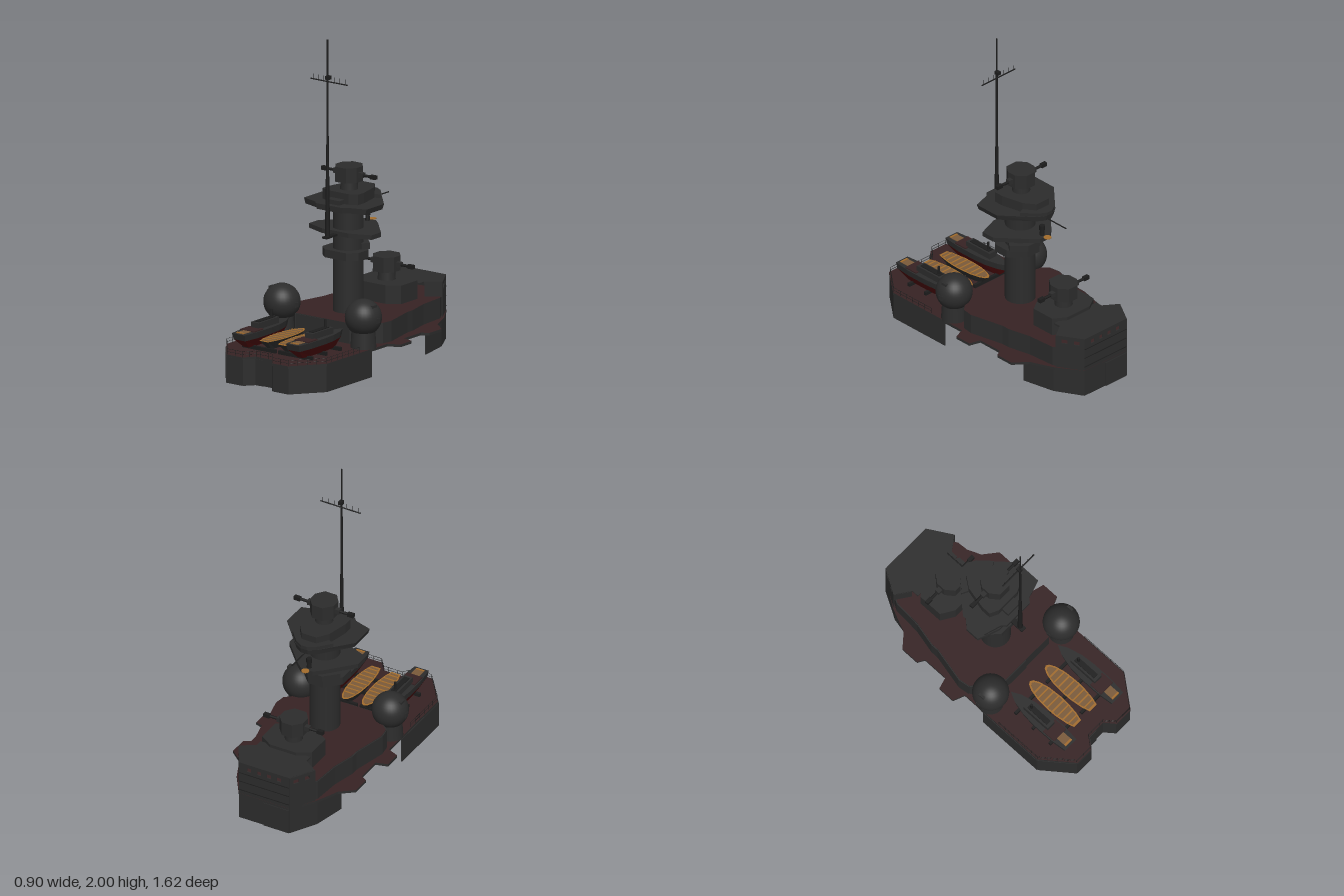
import * as THREE from 'three';

const mat = (name, color) => {
  const m = new THREE.MeshStandardMaterial({ color });
  m.name = name;
  return m;
};

export function createModel() {
  const gray = mat('steel gray', 0x2c2c2c), deckRed = mat('deck red brown', 0x362223);
  const dark = mat('dark fittings', 0x1d1d1d), keelRed = mat('keel red', 0x4c0a0a);
  const tan = mat('varnished wood', 0xa26c2c), floorTan = mat('boat floor', 0x7a5a3a);
  const root = new THREE.Group();
  root.name = 'shipSuperstructure';

  const add = (name, geo, m, x = 0, y = 0, z = 0, parent = root) => {
    const mesh = new THREE.Mesh(geo, m);
    mesh.name = name;
    mesh.position.set(x, y, z);
    parent.add(mesh);
    return mesh;
  };
  const group = (name, x = 0, y = 0, z = 0) => {
    const g = new THREE.Group();
    g.name = name;
    g.position.set(x, y, z);
    root.add(g);
    return g;
  };
  const box = (w, h, d) => new THREE.BoxGeometry(w, h, d);
  const cyl = (r0, r1, h, n = 20) => new THREE.CylinderGeometry(r0, r1, h, n);
  // Full mirrored outline in shape space from half an outline of [x, z]
  const outline = half => [...half, ...half.filter(p => p[0] > 0).reverse().map(([x, z]) => [-x, z])]
    .map(([x, z]) => new THREE.Vector2(x, -z));
  // Mirrored horizontal plate, optionally with a mirrored opening; taper shrinks its bottom edge
  const plate = (half, y0, y1, taper = 1, opening = null) => {
    const shape = new THREE.Shape(outline(half));
    if (opening) shape.holes.push(new THREE.Path(outline(opening)));
    const g = new THREE.ExtrudeGeometry(shape, { depth: y1 - y0, bevelEnabled: false });
    g.rotateX(-Math.PI / 2).translate(0, y0, 0);
    const p = g.attributes.position;
    for (let i = 0; i < p.count; i++) if (p.getY(i) < (y0 + y1) / 2) {
      p.setX(i, p.getX(i) * taper);
      p.setZ(i, p.getZ(i) * (1 + taper) / 2);
    }
    g.computeVertexNormals();
    return g;
  };
  // Thin upright wall between two [x, z] points, with optional window holes [u, y, w, h]
  const wall = (name, a, b, y0, y1, holes = []) => {
    const dx = b[0] - a[0], dz = b[1] - a[1], len = Math.hypot(dx, dz);
    const rect = (s, x, y, w, h) => s.moveTo(x, y).lineTo(x + w, y).lineTo(x + w, y + h).lineTo(x, y + h).closePath();
    const s = rect(new THREE.Shape(), 0, y0, len, y1 - y0);
    for (const [u, y, w, h] of holes) s.holes.push(rect(new THREE.Path(), u * len - w / 2, y, w, h));
    const g = new THREE.ExtrudeGeometry(s, { depth: 0.006, bevelEnabled: false });
    g.rotateY(Math.atan2(-dz, dx)).translate(a[0], 0, a[1]);
    add(name, g, gray);
  };
  // Walls along a path and along its mirror image
  const walls = (name, path, y0, y1) => {
    for (const s of [-1, 1])
      for (let i = 0; i + 1 < path.length; i++)
        wall(name, [path[i][0] * s, path[i][1]], [path[i + 1][0] * s, path[i + 1][1]], y0, y1);
  };
  // Round bar between two points, r1 being the radius at the second
  const rod = (name, a, b, r, m = dark, parent = root, r1 = r) => {
    const A = new THREE.Vector3(...a), B = new THREE.Vector3(...b), d = B.clone().sub(A);
    const c = A.clone().add(B).multiplyScalar(0.5);
    const mesh = add(name, cyl(r1, r, d.length(), 8), m, c.x, c.y, c.z, parent);
    mesh.quaternion.setFromUnitVectors(new THREE.Vector3(0, 1, 0), d.normalize());
  };

  // Main deck with side sponsons, open beneath the hollow deckhouse
  const house = [[0.16, -0.795], [0.262, -0.63], [0.275, -0.45], [0.31, -0.3], [0.31, -0.25], [0.36, -0.03],
    [0.35, 0.04], [0.2, 0.17]];
  add('mainDeck', plate([[0.17, -0.81], [0.27, -0.66], [0.31, -0.57], [0.335, -0.51], [0.42, -0.44], [0.42, -0.32],
    [0.377, -0.295], [0.377, -0.13], [0.45, -0.11], [0.45, 0], [0.377, 0.03], [0.377, 0.62], [0.23, 0.81],
    [0.11, 0.81], [0.06, 0.745]], 0.158, 0.174, 1, house), [deckRed, gray]);
  add('deckhouseTop', plate(house, 0.292, 0.3), [deckRed, gray]);
  walls('deckhouseWall', [...house, [0, 0.17]], 0.16, 0.297);

  // Hollow hull skirts under both ends
  walls('frontHullWall', [[0.375, 0.18], [0.375, 0.62], [0.23, 0.805], [0.11, 0.805], [0.06, 0.743], [0, 0.743]], 0, 0.16);
  walls('rearHullWall', [[0, -0.808], [0.17, -0.808], [0.265, -0.64], [0.31, -0.43]], 0, 0.16);

  // Covered gallery at the rear, with window openings
  const win = [0.2, 0.4, 0.6, 0.8].map(u => [u, 0.342, 0.03, 0.026]);
  wall('galleryRearWall', [-0.17, -0.808], [0.17, -0.808], 0.16, 0.39, win);
  for (const s of [-1, 1]) {
    wall('gallerySideWall', [0.17 * s, -0.808], [0.26 * s, -0.655], 0.16, 0.39,
      [[0.27, 0.342, 0.036, 0.026], [0.7, 0.342, 0.036, 0.026]]);
    wall('galleryInnerWall', [0.256 * s, -0.66], [0.17 * s, -0.6], 0.298, 0.385);
  }
  add('galleryRoof', plate([[0.17, -0.808], [0.26, -0.657], [0.17, -0.595], [0.17, -0.55]], 0.38, 0.392), gray);
  for (const y of [0.2, 0.26, 0.32]) add('platingSeam', box(0.34, 0.004, 0.004), dark, 0, y, -0.809);
  add('directorPlatform', plate([[0.09, -0.58], [0.17, -0.53], [0.17, -0.37], [0.09, -0.32]], 0.3, 0.413), gray);

  // Rangefinder directors with cross arms
  const director = (y, z, ped) => {
    const g = group('director', 0, y, z);
    add('directorPedestal', cyl(0.05, 0.055, ped, 16), gray, 0, ped / 2, 0, g);
    add('directorHouse', plate([[0.035, -0.083], [0.08, -0.03], [0.08, 0.03], [0.04, 0.083]], ped, ped + 0.092), gray, 0, 0, 0, g);
    rod('rangefinderArm', [-0.2, ped + 0.045, 0], [0.2, ped + 0.045, 0], 0.009, dark, g);
    for (const s of [-1, 1]) {
      add('rangefinderHead', box(0.04, 0.024, 0.024), dark, 0.182 * s, ped + 0.045, 0, g);
      add('rangefinderCollar', box(0.03, 0.03, 0.03), gray, 0.095 * s, ped + 0.045, 0, g);
    }
  };
  director(0.41, -0.45, 0.06);
  director(1.04, -0.085, 0.055);

  // Round tower and its platforms
  add('tower', cyl(0.092, 0.092, 0.72, 32), gray, 0, 0.65, -0.077);
  add('lowerGallery', plate([[0.05, -0.19], [0.135, -0.1], [0.135, 0.0], [0.08, 0.05]], 0.636, 0.685), gray);
  add('lowerGalleryScreen', plate([[0.05, -0.2], [0.13, -0.12], [0.1, -0.08]], 0.685, 0.722), gray);
  add('middlePlatform', plate([[0.04, -0.295], [0.09, -0.25], [0.235, -0.09], [0.235, 0.0], [0.1, 0.05]], 0.782, 0.81), gray);
  add('topPlatform', plate([[0.025, -0.33], [0.075, -0.3], [0.235, -0.12], [0.235, 0.05], [0.12, 0.085], [0.1, 0.11]], 0.943, 0.978, 0.95), gray);
  add('topScreen', plate([[0.02, -0.33], [0.07, -0.3], [0.14, -0.22], [0.1, -0.2]], 0.978, 1.0), gray);
  add('towerHead', plate([[0.05, -0.27], [0.1, -0.2], [0.132, -0.06], [0.132, 0.0], [0.08, 0.025]], 0.975, 1.043), gray);
  add('rearLocker', box(0.1, 0.03, 0.05), gray, 0, 0.99, 0.05);
  rod('bowPole', [0, 0.942, -0.3], [0, 0.942, -0.47], 0.004);
  add('sightStand', cyl(0.012, 0.016, 0.045, 10), dark, 0, 0.83, -0.265);
  add('sightHead', cyl(0.018, 0.018, 0.03, 10), dark, 0, 0.86, -0.265);
  add('sightFan', cyl(0.024, 0.024, 0.004, 12), tan, 0, 0.812, -0.312);

  // Pole mast with yard
  rod('mastLower', [0, 0.78, 0.125], [0, 1.25, 0.125], 0.016, dark, root, 0.009);
  rod('mastMiddle', [0, 1.25, 0.125], [0, 1.76, 0.125], 0.008, dark, root, 0.006);
  rod('mastTop', [0, 1.76, 0.125], [0, 2, 0.125], 0.005);
  add('mastFoot', box(0.035, 0.012, 0.14), dark, 0, 0.788, 0.085);
  rod('mastBrace', [0, 0.965, 0.05], [0, 0.965, 0.125], 0.008);
  rod('yard', [-0.137, 1.738, 0.11], [0.137, 1.738, 0.11], 0.004);
  for (const x of [-0.12, -0.08, -0.04, 0.04, 0.08, 0.12]) rod('yardAerial', [x, 1.738, 0.11], [x, 1.77, 0.11], 0.0015);
  add('mastLamp', box(0.024, 0.022, 0.03), dark, 0, 1.765, 0.118);

  for (const s of [-1, 1]) {
    // Domed side directors
    add('domePedestal', cyl(0.07, 0.078, 0.13, 24), gray, 0.305 * s, 0.232, 0.172);
    add('dome', new THREE.SphereGeometry(0.111, 32, 20), gray, 0.305 * s, 0.355, 0.172);
    add('domeLug', box(0.03, 0.03, 0.04), gray, 0.375 * s, 0.425, 0.172);
    for (const t of [-1, 1]) add('domeTrunnion', box(0.02, 0.03, 0.03), gray, (0.305 + t * 0.103) * s, 0.35, 0.172);

    // Motor boat
    const b = group('motorBoat', 0.203 * s, 0, 0.48);
    const line = [[0, -0.24], [0.03, -0.18], [0.052, -0.09], [0.06, 0], [0.06, 0.14], [0.048, 0.25]];
    add('motorBoatKeel', plate(line.map(([x, z]) => [x * 0.9, z * 0.95]), 0.19, 0.245, 0.45), keelRed, 0, 0, 0, b);
    add('motorBoatSide', plate(line, 0.245, 0.285, 0.9), gray, 0, 0, 0, b);
    add('motorBoatCabin', box(0.058, 0.042, 0.2), gray, 0, 0.302, -0.01, b);
    add('motorBoatRoof', box(0.034, 0.006, 0.16), dark, 0, 0.325, -0.01, b);
    add('motorBoatFunnel', cyl(0.008, 0.009, 0.08, 10), dark, 0, 0.335, -0.07, b);
    add('motorBoatCanopy', box(0.105, 0.01, 0.09), deckRed, 0, 0.287, 0.118, b);
    add('motorBoatCockpit', box(0.056, 0.008, 0.075), floorTan, 0, 0.284, 0.198, b);
    add('motorBoatBench', box(0.056, 0.008, 0.012), tan, 0, 0.287, 0.228, b);

    // Open rowing boat with thwarts
    const r = group('rowingBoat', 0.068 * s, 0, 0.468);
    const rim = k => [[0, -0.2], [0.018, -0.19], [0.036, -0.155], [0.051, -0.09], [0.057, 0], [0.055, 0.06],
      [0.044, 0.14], [0.03, 0.19]].map(([x, z]) => [x * k, z * (1 + k) / 2]);
    add('rowingBoatHull', plate(rim(1), 0.19, 0.246, 0.4), gray, 0, 0, 0, r);
    add('rowingBoatGunwale', plate(rim(1), 0.246, 0.248), tan, 0, 0, 0, r);
    add('rowingBoatFloor', plate(rim(0.84), 0.248, 0.25), floorTan, 0, 0, 0, r);
    for (let i = 0; i < 8; i++) {
      const z = -0.13 + i * 0.04;
      add('thwart', box(0.106 - Math.abs(z - 0.01) * 0.22, 0.003, 0.01), tan, 0, 0.251, z, r);
    }
    // Boat cradles
    for (const z of [0.33, 0.47, 0.61]) add('cradle', box(0.25, 0.022, 0.018), dark, 0.135 * s, 0.185, z);

    // Deck rails
    const rail = [[0.372, 0.3], [0.372, 0.62], [0.228, 0.803], [0.112, 0.803], [0.062, 0.74], [0, 0.74]].map(([x, z]) => [x * s, z]);
    for (let i = 0; i + 1 < rail.length; i++) {
      const [[ax, az], [bx, bz]] = [rail[i], rail[i + 1]];
      for (const y of [0.19, 0.208]) rod('railBar', [ax, y, az], [bx, y, bz], 0.0012);
      const n = Math.ceil(Math.hypot(bx - ax, bz - az) / 0.06);
      for (let k = 0; k < n; k++) {
        const x = ax + (bx - ax) * k / n, z = az + (bz - az) * k / n;
        rod('railPost', [x, 0.17, z], [x, 0.208, z], 0.0015);
      }
    }
  }
  return root;
}
